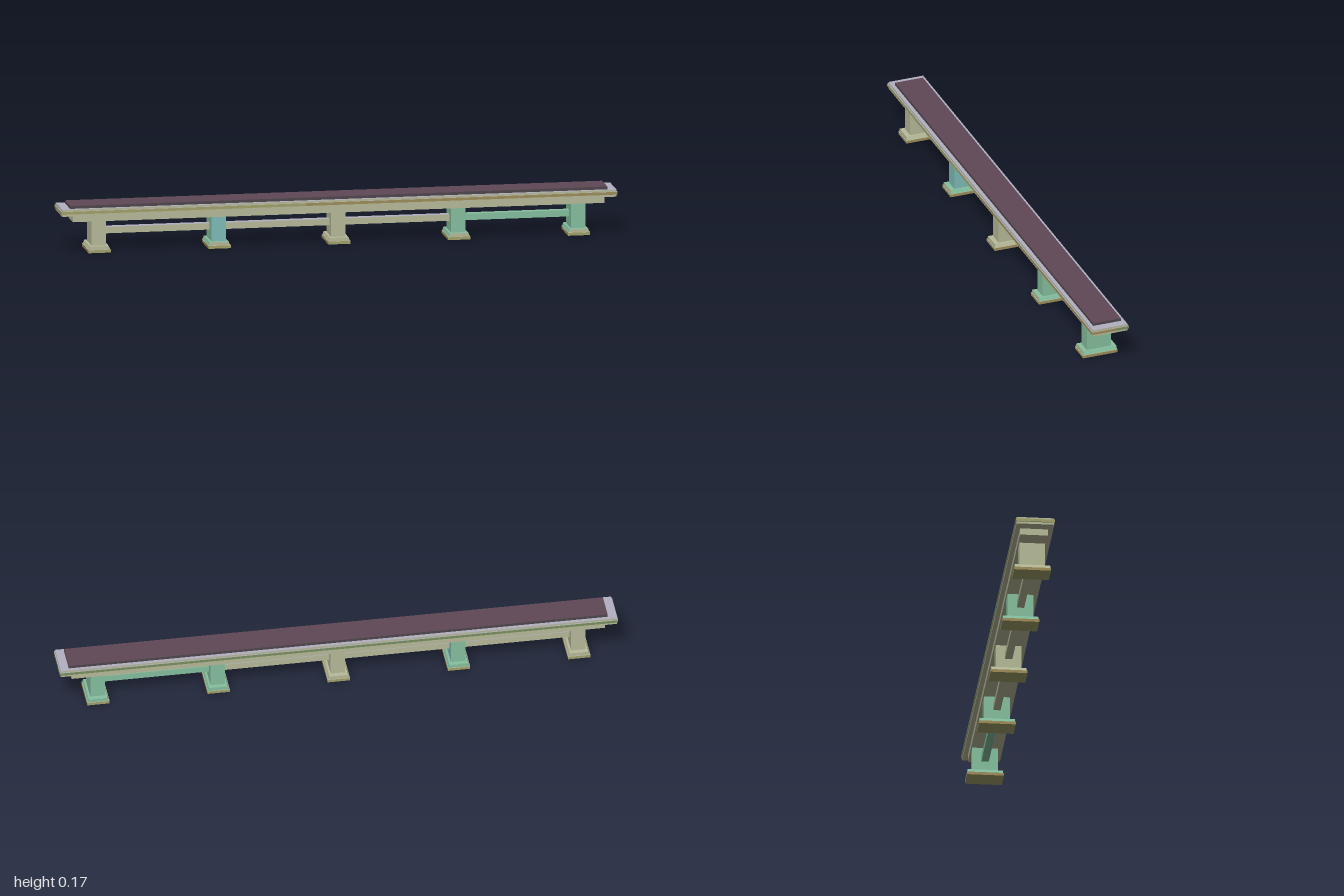
import * as THREE from 'three';

export function createModel() {
  const model = new THREE.Group();
  model.name = 'longBench';

  const paint = (name, color) => {
    const m = new THREE.MeshStandardMaterial({ color, flatShading: true });
    m.name = name;
    return m;
  };
  const khaki = paint('khaki', 0xb8bc9a);
  const mint = paint('mint', 0x86c1a0);
  const teal = paint('teal', 0x7fbfba);
  const brown = paint('brown', 0x9f8f5a);
  const olive = paint('olive', 0xa3a26c);
  const green = paint('mossGreen', 0x7a9160);
  const lavender = paint('lavender', 0xb2b0c2);
  const plum = paint('plum', 0x5f4856);
  const dark = paint('darkPlum', 0x50474c);

  // Box spanning y0..y1; taper narrows the top in x. Material order: +x -x +y -y +z -z
  const box = (parent, name, material, w, d, y0, y1, x = 0, z = 0, taper = 1) => {
    const geo = new THREE.BoxGeometry(w, y1 - y0, d);
    if (taper !== 1) {
      const p = geo.attributes.position;
      for (let i = 0; i < p.count; i++) if (p.getY(i) > 0) p.setX(i, p.getX(i) * taper);
      geo.computeVertexNormals();
    }
    const mesh = new THREE.Mesh(geo, material);
    mesh.name = name;
    mesh.position.set(x, (y0 + y1) / 2, z);
    parent.add(mesh);
    return mesh;
  };

  // Long top: cushion, stepped slab and apron
  const stone = [khaki, khaki, lavender, khaki, khaki, khaki];
  box(model, 'cushion', [dark, dark, plum, dark, dark, dark], 1.93, 0.105, 0.159, 0.17);
  box(model, 'slabTop', stone, 1.992, 0.132, 0.152, 0.16);
  box(model, 'slabBottom', stone, 1.992, 0.132, 0.135, 0.144);
  box(model, 'apron', khaki, 1.91, 0.1, 0.111, 0.136);

  // Projecting edge band in two runs, with a green corner on the end
  box(model, 'edgeBandRight', [olive, olive, lavender, khaki, olive, green], 0.88, 0.139, 0.143, 0.153, -0.56);
  box(model, 'edgeBandLeft', [brown, brown, lavender, khaki, brown, green], 1.119, 0.139, 0.143, 0.153, 0.4395);
  box(model, 'edgeBandCorner', green, 0.002, 0.046, 0.1431, 0.1529, 0.999, -0.0465);

  // Five piers on stepped feet
  const pitch = 0.4305;
  const shafts = [khaki, [teal, mint, teal, teal, teal, mint], khaki, mint, mint];
  const plinths = [khaki, [mint, mint, mint, khaki, khaki, mint], khaki,
    [mint, mint, mint, khaki, khaki, mint], [mint, mint, mint, khaki, khaki, mint]];
  for (let i = 0; i < 5; i++) {
    const pier = new THREE.Group();
    pier.name = 'pier' + (i + 1);
    pier.position.x = (i - 2) * pitch;
    model.add(pier);
    box(pier, 'shaft', shafts[i], 0.052, 0.092, 0.02, 0.112);
    box(pier, 'plinth', plinths[i], 0.076, 0.126, 0.01, 0.023, 0, 0, 0.88);
    box(pier, 'footPad', [brown, brown, khaki, olive, olive, olive], 0.08, 0.131, 0, 0.0105);
  }

  // Stretchers between neighbouring piers
  const rail = [khaki, khaki, lavender, khaki, khaki, khaki];
  for (let i = 0; i < 4; i++) {
    box(model, 'stretcher' + (i + 1), i === 3 ? mint : rail, pitch - 0.05, 0.026, 0.059, 0.082, (i - 1.5) * pitch);
  }
  return model;
}
